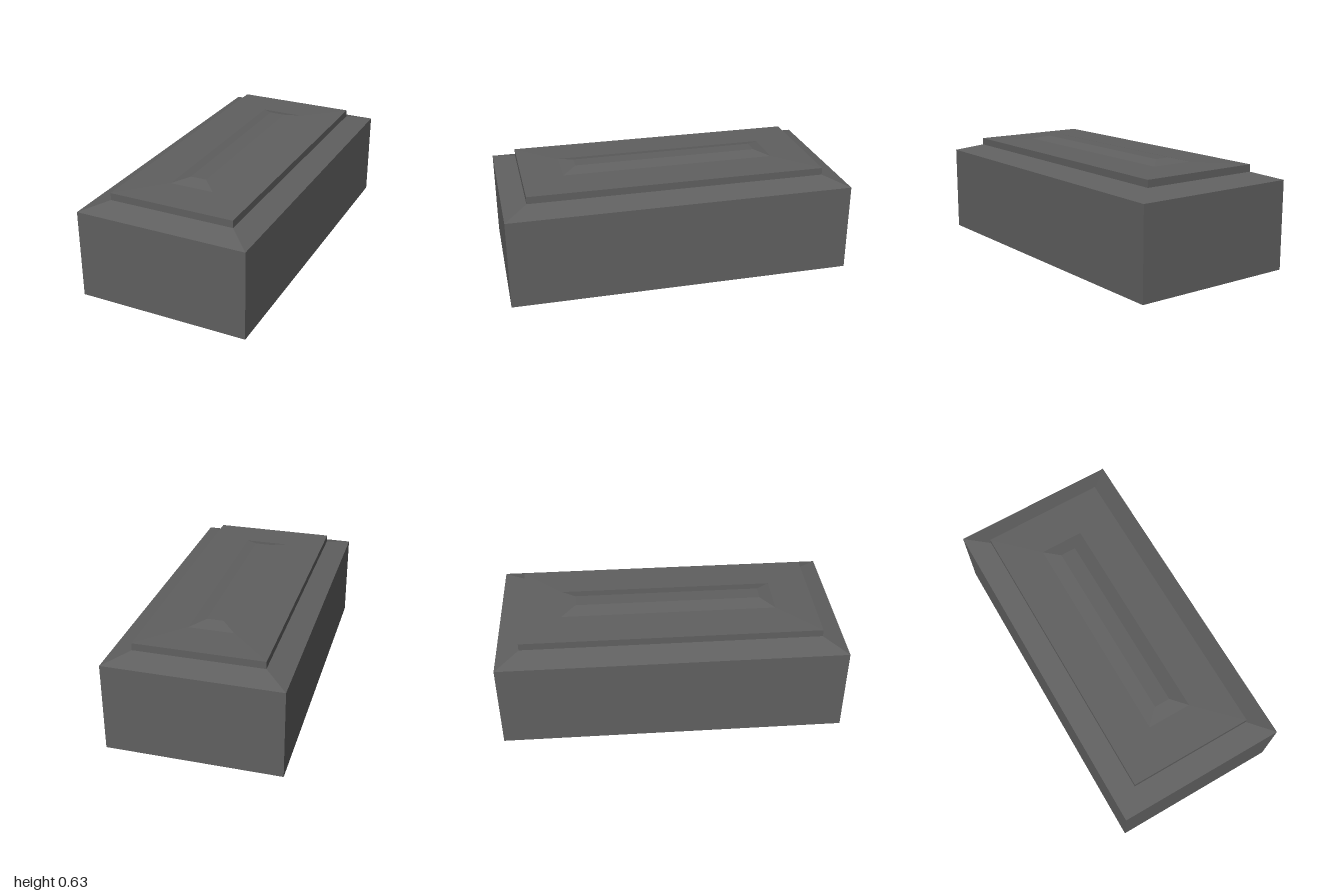
import * as THREE from 'three';

// Lofts rectangular rings [halfWidth, y, halfDepth], listed from bottom to top.
function rectLoft(rings, capBottom, capTop) {
  const pos = [];
  const corners = rings.map(([w, y, d]) => [[w, y, d], [w, y, -d], [-w, y, -d], [-w, y, d]]);
  const quad = (a, b, c, d) => pos.push(...a, ...b, ...c, ...a, ...c, ...d);
  for (let r = 0; r < corners.length - 1; r++) {
    const lo = corners[r], hi = corners[r + 1];
    for (let i = 0; i < 4; i++) {
      const j = (i + 1) % 4;
      quad(lo[i], lo[j], hi[j], hi[i]);
    }
  }
  if (capBottom) quad(...[...corners[0]].reverse());
  if (capTop) quad(...corners[corners.length - 1]);
  const geo = new THREE.BufferGeometry();
  geo.setAttribute('position', new THREE.Float32BufferAttribute(pos, 3));
  geo.computeVertexNormals();
  return geo;
}

export function createModel() {
  const group = new THREE.Group();
  group.name = 'stoneTomb';
  const stone = new THREE.MeshStandardMaterial({ color: 0x606060 });
  stone.name = 'darkGreyStone';

  const add = (name, geo) => {
    const mesh = new THREE.Mesh(geo, stone);
    mesh.name = name;
    group.add(mesh);
  };

  // Block with a sloping shoulder
  add('base', rectLoft([[0.5, 0, 1], [0.5, 0.521, 1], [0.367, 0.562, 0.867]], true, false));

  // Upright slab with a nearly flat top
  add('lid', rectLoft([[0.367, 0.562, 0.867], [0.367, 0.604, 0.867], [0.13, 0.61, 0.63]], false, false));

  // Raised, bevelled centre panel
  add('raisedPanel', rectLoft([[0.13, 0.61, 0.63], [0.047, 0.631, 0.547]], false, true));

  return group;
}
